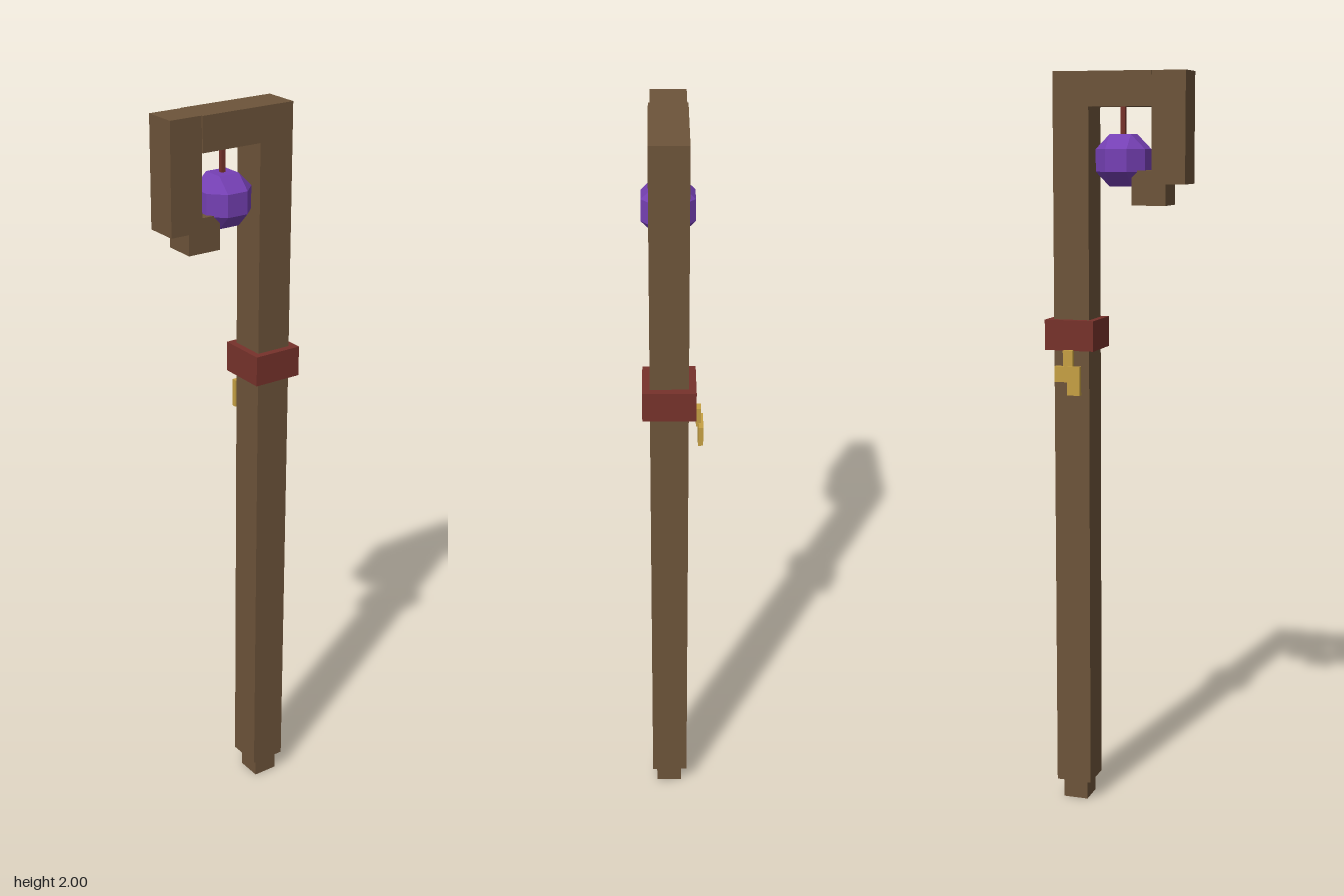
import * as THREE from 'three';
import { ConvexGeometry } from 'three/addons/geometries/ConvexGeometry.js';

const material = (name, color, extra = {}) => {
  const m = new THREE.MeshStandardMaterial({ color, ...extra });
  m.name = name;
  return m;
};

export function createModel() {
  const root = new THREE.Group();
  root.name = 'hookedStaff';

  const wood = material('brown wood', 0x6d543a);
  const cloth = material('red cloth', 0x77322b);
  const crystal = material('purple crystal', 0x7540b4, { flatShading: true });
  const gold = material('gold', 0xc6a043);

  // Box given by its extents on each axis
  const box = (name, mat, [x0, x1], [y0, y1], [z0, z1], parent = root) => {
    const mesh = new THREE.Mesh(new THREE.BoxGeometry(x1 - x0, y1 - y0, z1 - z0), mat);
    mesh.position.set((x0 + x1) / 2, (y0 + y1) / 2, (z0 + z1) / 2);
    mesh.name = name;
    parent.add(mesh);
    return mesh;
  };

  // Wooden shaft and square hook
  const depth = [-0.041, 0.057];
  const hookDepth = [-0.038, 0.053];
  box('foot', wood, [0.085, 0.154], [0, 0.056], [-0.025, 0.045]);
  box('shaft', wood, [0.07, 0.168], [0.056, 2], depth);
  box('crossbar', wood, [-0.1, 0.07], [1.91, 2], depth);
  box('hookArm', wood, [-0.19, -0.1], [1.713, 2], hookDepth);
  box('hookTip', wood, [-0.138, -0.046], [1.658, 1.748], [-0.036, 0.051]);

  // Wrapped band
  box('band', cloth, [0.052, 0.188], [1.275, 1.356], [-0.06, 0.076]);

  // Faceted gem hanging from a cord
  box('cord', cloth, [-0.016, -0.004], [1.82, 1.91], [0.002, 0.014]);
  const r = 0.067, a = 0.029;
  const points = [];
  for (const sx of [-1, 1]) for (const sy of [-1, 1]) for (const sz of [-1, 1]) {
    for (const [x, y, z] of [[r, a, a], [a, r, a], [a, a, r]]) {
      points.push(new THREE.Vector3(sx * x, sy * y, sz * z));
    }
  }
  const gem = new THREE.Mesh(new ConvexGeometry(points), crystal);
  gem.position.set(-0.01, 1.773, 0.009);
  gem.name = 'gem';
  root.add(gem);

  // Small charm hanging behind the shaft
  const charm = new THREE.Group();
  charm.name = 'charm';
  root.add(charm);
  box('charmStem', gold, [0.106, 0.133], [1.225, 1.277], [-0.073, -0.06], charm);
  box('charmPlate', gold, [0.084, 0.155], [1.193, 1.235], [-0.079, -0.066], charm);
  box('charmTip', gold, [0.084, 0.12], [1.158, 1.193], [-0.079, -0.066], charm);

  return root;
}
